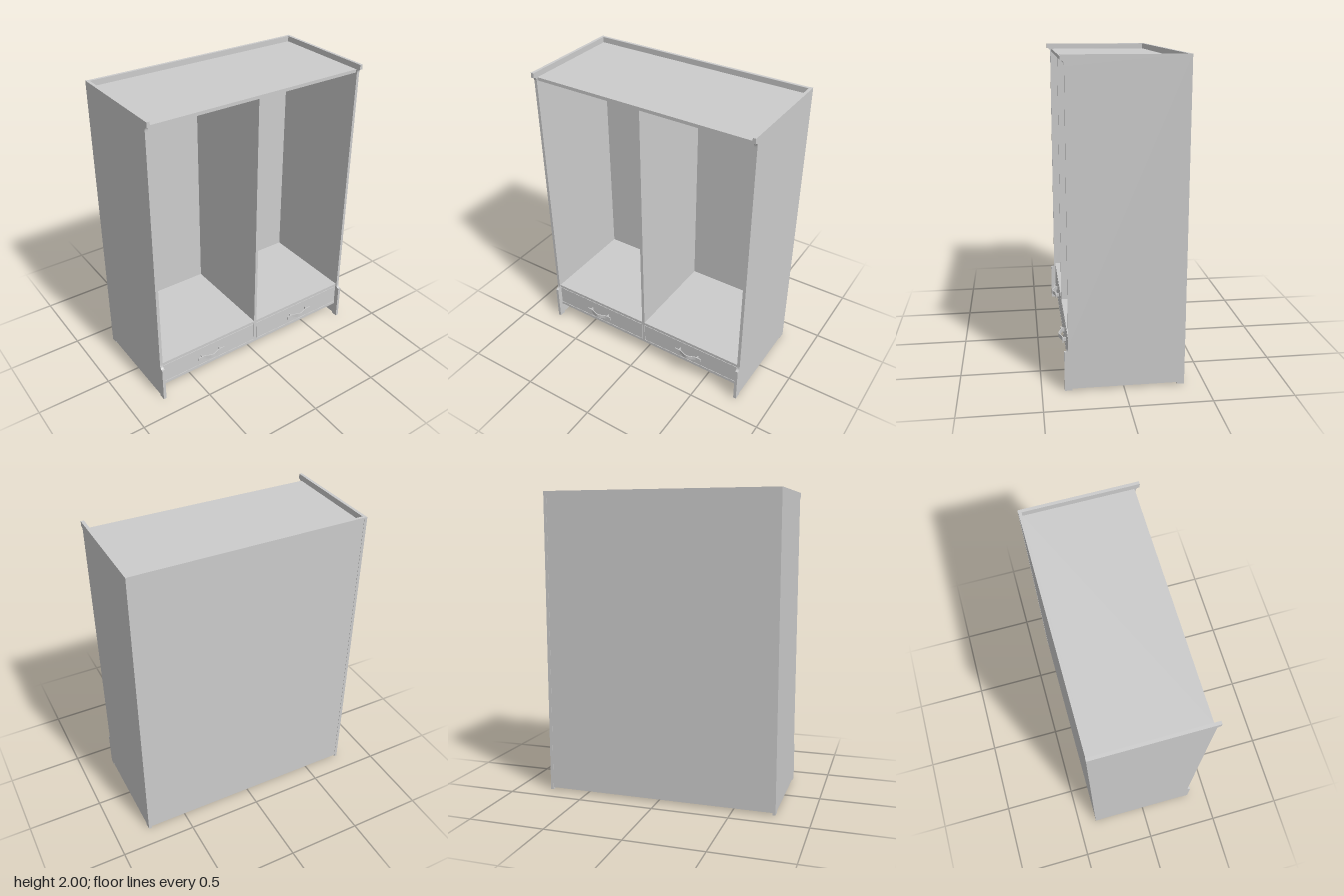
import * as THREE from 'three';

export function createModel() {
  const root = new THREE.Group();
  const mat = new THREE.MeshStandardMaterial({ color: 0xcccccc });

  const add = (name, geo, parent = root) => {
    const mesh = new THREE.Mesh(geo, mat);
    mesh.name = name;
    parent.add(mesh);
    return mesh;
  };
  // Box given by its lower and upper limits on each axis
  const box = (name, x0, x1, y0, y1, z0, z1, parent) => {
    const mesh = add(name, new THREE.BoxGeometry(x1 - x0, y1 - y0, z1 - z0), parent);
    mesh.position.set((x0 + x1) / 2, (y0 + y1) / 2, (z0 + z1) / 2);
    return mesh;
  };

  const inX = 0.753, outX = 0.773, back = -0.374, front = 0.33;

  // Side panel outline (drawn in z, y) with projecting crown and base
  const side = new THREE.Shape();
  side.moveTo(back, 0.012);
  side.lineTo(0.362, 0.012);
  side.lineTo(0.362, 0.253);
  side.lineTo(0.354, 0.253);
  side.quadraticCurveTo(0.338, 0.257, 0.338, 0.285);
  side.lineTo(0.338, 1.935);
  side.quadraticCurveTo(0.338, 1.963, 0.354, 1.967);
  side.lineTo(0.362, 1.967);
  side.lineTo(0.362, 2);
  side.lineTo(back, 2);
  const sideGeo = new THREE.ExtrudeGeometry(side, { depth: outX - inX, bevelEnabled: false, curveSegments: 6 });
  sideGeo.rotateY(-Math.PI / 2); // shape x becomes z, depth runs towards -x

  for (const s of [-1, 1]) {
    const label = s > 0 ? 'left' : 'right';
    add(label + 'SidePanel', sideGeo).position.x = s > 0 ? outX : -inX;
    const cx = s * (inX + outX) / 2;
    box(label + 'FrontFoot', cx - 0.01, cx + 0.01, 0, 0.012, 0.317, 0.362);
    box(label + 'BackFoot', cx - 0.01, cx + 0.01, 0, 0.012, back, back + 0.045);
  }

  // Carcass
  box('backPanel', -inX, inX, 0.014, 2, -0.372, -0.353);
  box('topPanel', -inX, inX, 1.942, 1.963, -0.353, front);
  box('wardrobeFloor', -inX, inX, 0.262, 0.283, -0.353, front);
  box('bottomPanel', -inX, inX, 0.098, 0.119, -0.353, front);
  box('centreDivider', -0.01, 0.01, 0.283, 1.942, -0.353, front);
  box('drawerDivider', -0.01, 0.01, 0.119, 0.262, -0.353, front);

  // Handle bar: flat strip with a bow in the middle, offset from a centre line
  const bow = (x) => 0.35 + 0.02 * Math.pow(Math.cos(Math.min(Math.abs(x) / 0.07, 1) * Math.PI / 2), 2);
  const bar = new THREE.Shape();
  const steps = 24, half = 0.104;
  const xs = Array.from({ length: steps + 1 }, (_, i) => -half + (2 * half * i) / steps);
  xs.forEach((x, i) => (i ? bar.lineTo(x, -bow(x) - 0.004) : bar.moveTo(x, -bow(x) - 0.004)));
  xs.reverse().forEach((x) => bar.lineTo(x, -bow(x) + 0.002));
  const barGeo = new THREE.ExtrudeGeometry(bar, { depth: 0.026, bevelEnabled: false });
  barGeo.rotateX(-Math.PI / 2); // shape y becomes -z, depth runs up

  // Drawers with fronts, trays and handles
  for (const s of [-1, 1]) {
    const drawer = new THREE.Group();
    drawer.name = s > 0 ? 'leftDrawer' : 'rightDrawer';
    drawer.position.x = s * 0.3815;
    root.add(drawer);
    box('drawerFront', -0.368, 0.368, 0.123, 0.258, front - 0.02, front, drawer);
    box('drawerBase', -0.355, 0.355, 0.13, 0.14, -0.33, front - 0.02, drawer);
    box('drawerBack', -0.355, 0.355, 0.14, 0.24, -0.33, -0.315, drawer);
    for (const t of [-1, 1]) {
      box('drawerSide', t * 0.3475 - 0.0075, t * 0.3475 + 0.0075, 0.14, 0.24, -0.315, front - 0.02, drawer);
      box('handlePost', t * 0.072 - 0.003, t * 0.072 + 0.003, 0.177, 0.203, front, 0.35, drawer);
    }
    add('handleBar', barGeo, drawer).position.y = 0.177;
  }
  return root;
}
